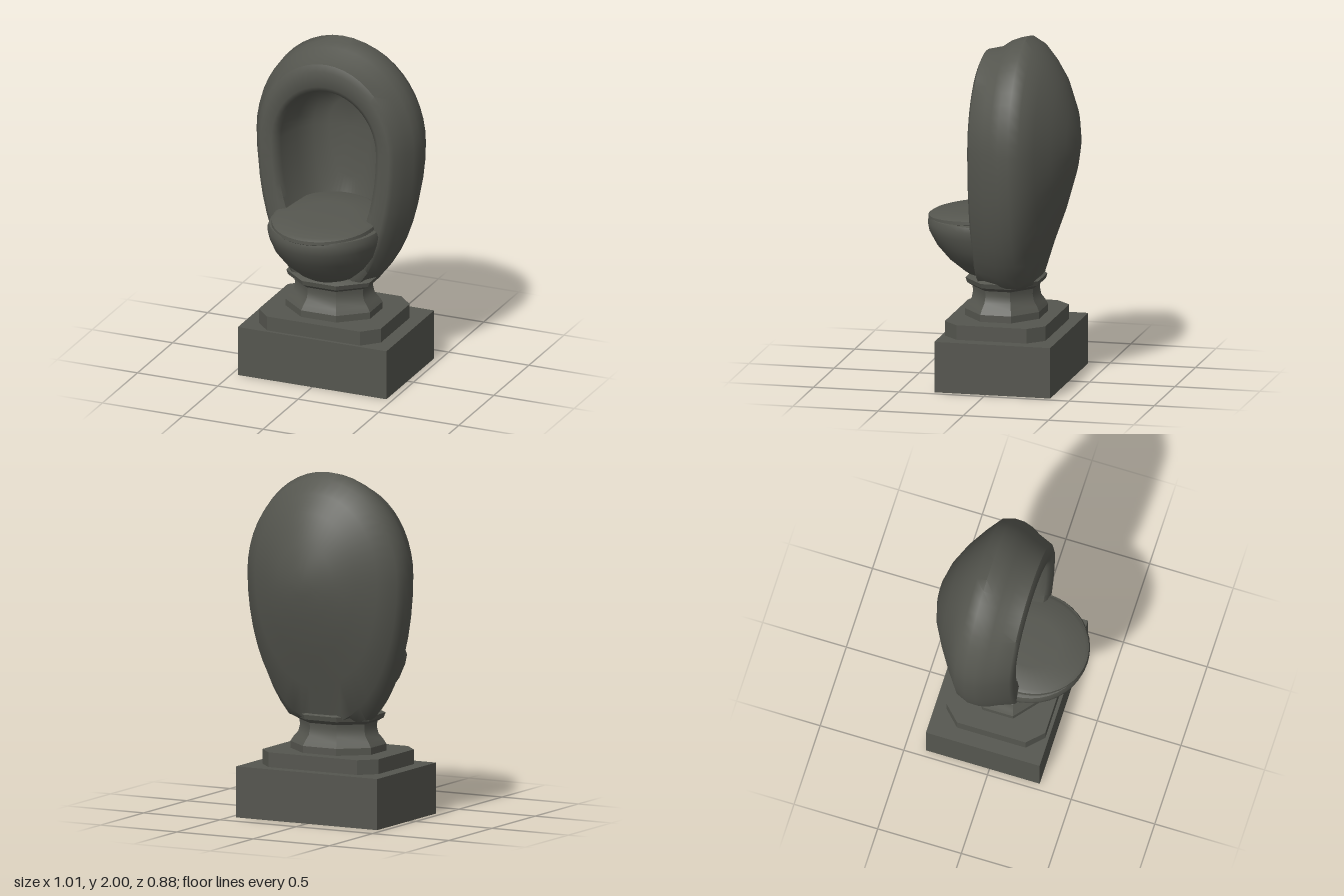
import * as THREE from 'three';
import { toCreasedNormals } from 'three/addons/utils/BufferGeometryUtils.js';

const stone = new THREE.MeshStandardMaterial({ color: 0x55564f });
stone.name = 'dark stone';

function part(name, geometry, x = 0, y = 0, z = 0) {
  const mesh = new THREE.Mesh(geometry, stone);
  mesh.name = name;
  mesh.position.set(x, y, z);
  return mesh;
}

// Egg-shaped rings [z, half width, bottom, top] lofted one after another
function eggLoft(rows, segments, middleY, floorY) {
  const positions = [], index = [];
  for (const [z, w, bottom, top] of rows) {
    for (let j = 0; j < segments; j++) {
      const a = (j / segments) * Math.PI * 2, s = Math.sin(a);
      const y = middleY + s * (s > 0 ? top - middleY : middleY - bottom);
      positions.push(w * Math.cos(a), Math.max(y, floorY), z);
    }
  }
  for (let i = 0; i < rows.length - 1; i++) {
    for (let j = 0; j < segments; j++) {
      const k = (j + 1) % segments;
      const a = i * segments + j, b = i * segments + k;
      const c = a + segments, d = b + segments;
      index.push(a, c, b, b, c, d);
    }
  }
  const g = new THREE.BufferGeometry();
  g.setAttribute('position', new THREE.Float32BufferAttribute(positions, 3));
  g.setIndex(index);
  return toCreasedNormals(g, 0.75);
}

function lathe(profile, segments, crease, turn = 0) {
  const g = new THREE.LatheGeometry(profile.map(([r, y]) => new THREE.Vector2(r, y)), segments);
  g.rotateY(turn);
  return toCreasedNormals(g, crease);
}

// Rectangular slab with cut corners
function cutCornerSlab(w, d, cut, height) {
  const s = new THREE.Shape([
    [w - cut, -d], [w, -d + cut], [w, d - cut], [w - cut, d],
    [-w + cut, d], [-w, d - cut], [-w, -d + cut], [-w + cut, -d],
  ].map(([x, y]) => new THREE.Vector2(x, y)));
  const g = new THREE.ExtrudeGeometry(s, { depth: height, bevelEnabled: false });
  return g.rotateX(-Math.PI / 2);
}

export function createModel() {
  const model = new THREE.Group();
  model.name = 'pedestal fountain';

  // Base block and step
  model.add(part('plinth', new THREE.BoxGeometry(0.925, 0.295, 0.68), 0, 0.1475, -0.04));
  model.add(part('step', cutCornerSlab(0.38, 0.295, 0.09, 0.09), 0, 0.29, -0.015));

  // Eight-sided waisted foot
  const foot = part('foot', lathe([
    [0, 0.37], [0.285, 0.37], [0.285, 0.42], [0.265, 0.45], [0.238, 0.48],
    [0.228, 0.52], [0.232, 0.55], [0.27, 0.572], [0.28, 0.6], [0.2, 0.64], [0, 0.66],
  ], 8, 0.5, Math.PI / 8), 0, 0, -0.012);
  foot.scale.z = 0.83;
  model.add(foot);

  // Hooded shell: recess from its back to the rim, then around the outside
  model.add(part('hood', eggLoft([
    [-0.25, 0, 1.4, 1.4],
    [-0.24, 0.13, 1.1, 1.58],
    [-0.2, 0.21, 0.85, 1.66],
    [-0.1, 0.27, 0.76, 1.7],
    [0.06, 0.3, 0.7, 1.73],
    [0.1, 0.31, 0.7, 1.745],
    [0.118, 0.335, 0.66, 1.775],
    [0.122, 0.4, 0.52, 1.87],
    [0.105, 0.425, 0.48, 1.91],
    [0.02, 0.462, 0.46, 1.93],
    [-0.03, 0.49, 0.45, 1.965],
    [-0.08, 0.505, 0.45, 1.985],
    [-0.14, 0.505, 0.46, 2.0],
    [-0.2, 0.49, 0.55, 1.965],
    [-0.27, 0.4, 0.77, 1.89],
    [-0.34, 0.295, 0.96, 1.79],
    [-0.405, 0.18, 1.18, 1.62],
    [-0.435, 0.07, 1.32, 1.49],
    [-0.442, 0, 1.4, 1.4],
  ], 48, 1.4, 0.565)));

  // Bowl below the seat, its sections sliding forward as they rise
  const bowlGeometry = new THREE.LatheGeometry([
    [0, 0.56], [0.1, 0.575], [0.18, 0.63], [0.25, 0.7], [0.3, 0.78],
    [0.325, 0.86], [0.335, 0.91], [0.325, 0.94], [0.29, 0.95], [0, 0.95],
  ].map(([r, y]) => new THREE.Vector2(r, y)), 40);
  const p = bowlGeometry.attributes.position;
  for (let i = 0; i < p.count; i++) {
    const rise = Math.min(1, (p.getY(i) - 0.56) / 0.3);
    p.setZ(i, p.getZ(i) * 1.02 + 0.03 + 0.07 * rise);
  }
  model.add(part('bowl', toCreasedNormals(bowlGeometry, 0.8)));

  // Gently tilted round lid
  const lid = part('lid', lathe([
    [0, -0.04], [0.29, -0.04], [0.308, -0.02], [0.305, 0], [0.285, 0.012], [0.15, 0.018], [0, 0.02],
  ], 40, 0.8), 0, 0.973, 0.1);
  lid.scale.z = 1.11;
  lid.rotation.x = 0.07;
  model.add(lid);

  return model;
}
